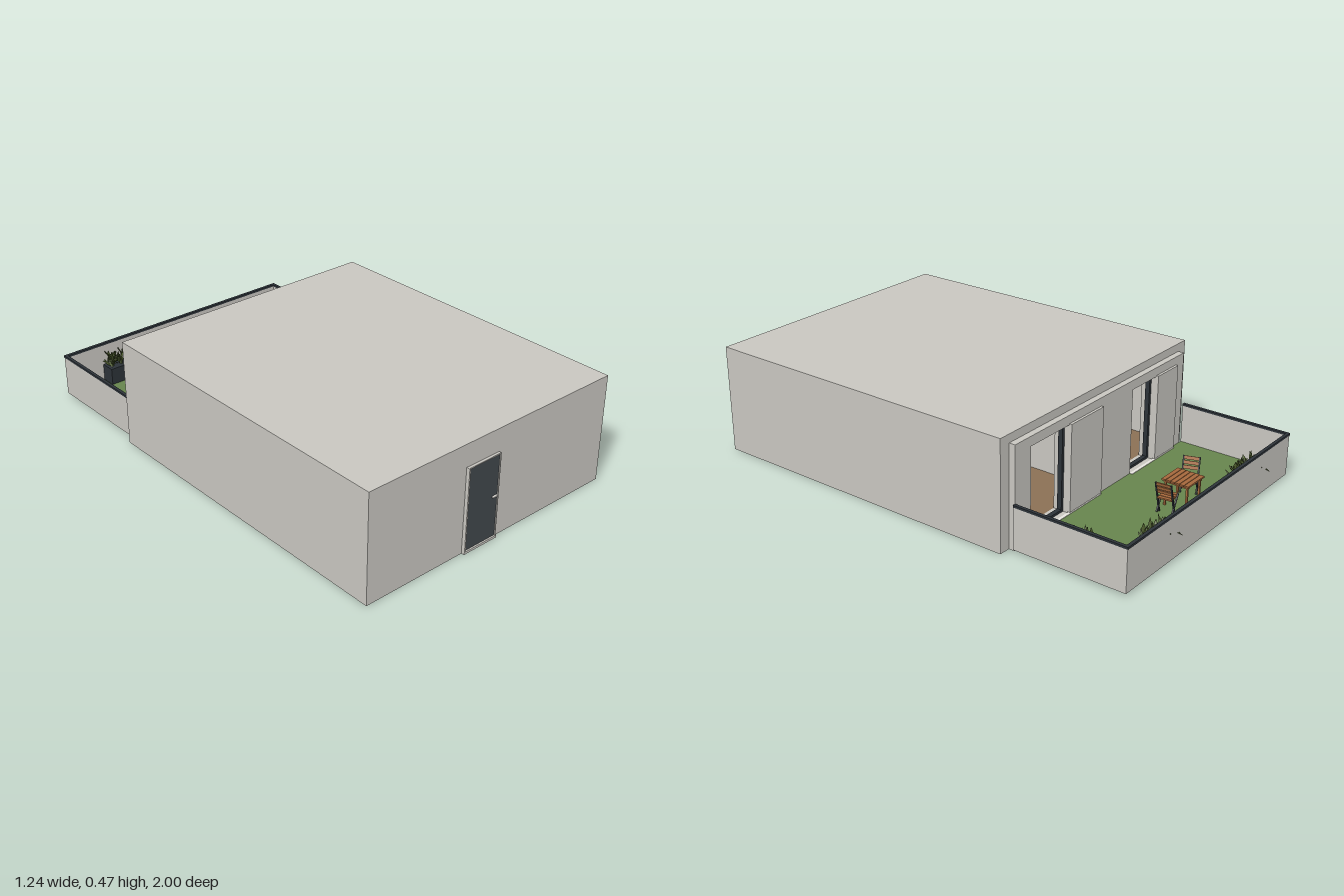
import * as THREE from 'three';
import { mergeGeometries } from 'three/addons/utils/BufferGeometryUtils.js';

const mat = (name, color, side = THREE.FrontSide) => {
  const m = new THREE.MeshStandardMaterial({ color, side });
  m.name = name;
  return m;
};

export function createModel() {
  const M = {
    plaster: mat('plaster', 0xc8c6c0),
    charcoal: mat('charcoal', 0x41474b),
    rail: mat('dark metal', 0x2c3238),
    grass: mat('grass', 0x67844d),
    wood: mat('wood', 0xa5683c),
    floor: mat('floor boards', 0x8a7054),
    leaf: mat('leaf', 0x4a5a2a, THREE.DoubleSide),
    white: mat('white', 0xe8e6e0),
  };
  const root = new THREE.Group();
  root.name = 'apartment';

  // Box given by its minimum and maximum on each axis
  const box = (name, m, x0, x1, y0, y1, z0, z1, parent = root) => {
    const mesh = new THREE.Mesh(new THREE.BoxGeometry(x1 - x0, y1 - y0, z1 - z0), m);
    mesh.position.set((x0 + x1) / 2, (y0 + y1) / 2, (z0 + z1) / 2);
    mesh.name = name;
    parent.add(mesh);
    return mesh;
  };
  const group = (name, x = 0, y = 0, z = 0, turn = 0) => {
    const g = new THREE.Group();
    g.name = name;
    g.position.set(x, y, z);
    g.rotation.y = turn;
    root.add(g);
    return g;
  };

  // Outer walls and roof
  box('roof', M.plaster, -0.62, 0.62, 0.43, 0.465, -0.46, 0.985);
  for (const s of [-1, 1]) box('sideWall', M.plaster, s * 0.59 - 0.03, s * 0.59 + 0.03, 0, 0.43, -0.46, 0.985);
  box('frontWall', M.plaster, -0.56, 0.56, 0, 0.43, 0.925, 0.985);

  // Back wall in two layers, both cut by the balcony doors
  const openings = [{ x0: 0.24, x1: 0.475, p0: 0.03 }, { x0: -0.36, x1: -0.19, p0: -0.51 }];
  const backWall = (name, halfWidth, z0, z1) => {
    const s = new THREE.Shape();
    s.moveTo(-halfWidth, 0).lineTo(halfWidth, 0).lineTo(halfWidth, 0.43).lineTo(-halfWidth, 0.43).closePath();
    for (const { x0, x1 } of openings) {
      const h = new THREE.Path();
      h.moveTo(x0, 0.02).lineTo(x0, 0.39).lineTo(x1, 0.39).lineTo(x1, 0.02).closePath();
      s.holes.push(h);
    }
    const mesh = new THREE.Mesh(new THREE.ExtrudeGeometry(s, { depth: z1 - z0, bevelEnabled: false }), M.plaster);
    mesh.position.z = z0;
    mesh.name = name;
    root.add(mesh);
  };
  backWall('backWall', 0.56, -0.46, -0.42);
  backWall('backCladding', 0.57, -0.487, -0.46);

  // Balcony doors: dark frame, sill and sliding panel
  for (const { x0, x1, p0 } of openings) {
    const t = 0.012, z0 = -0.465, z1 = -0.445;
    box('doorFrameSide', M.rail, x0, x0 + t, 0.02, 0.39, z0, z1);
    box('doorFrameSide', M.rail, x1 - t, x1, 0.02, 0.39, z0, z1);
    box('doorFrameTop', M.rail, x0 + t, x1 - t, 0.378, 0.39, z0, z1);
    box('doorFrameBottom', M.rail, x0 + t, x1 - t, 0.02, 0.03, z0, z1);
    box('sill', M.white, p0, x1, 0.012, 0.022, -0.5, -0.487);
    box('slidingPanel', M.plaster, p0, x0, 0.025, 0.395, -0.498, -0.487);
  }

  // Floors and inner walls
  box('floor', M.floor, -0.56, 0.56, 0.012, 0.018, -0.42, 0.925);
  box('bathroomFloor', M.charcoal, 0.23, 0.56, 0.01, 0.02, 0.435, 0.925);
  box('showerFloor', M.plaster, 0.37, 0.56, 0.008, 0.024, 0.76, 0.925);
  const wall = (x0, x1, z0, z1) => box('innerWall', M.plaster, x0, x1, 0, 0.43, z0, z1);
  wall(-0.02, 0.005, -0.42, 0.435);
  wall(0.005, 0.56, 0.41, 0.435);
  wall(0.205, 0.23, 0.435, 0.925);
  wall(0.04, 0.06, 0.6, 0.84);
  wall(0.06, 0.205, 0.6, 0.62);

  // Entrance door
  box('threshold', M.plaster, -0.15, 0.022, 0, 0.01, 0.985, 0.998);
  box('entranceDoor', M.charcoal, -0.144, 0.016, 0.011, 0.362, 0.985, 0.992);
  box('entranceFrame', M.plaster, -0.15, -0.144, 0.01, 0.368, 0.985, 1);
  box('entranceFrame', M.plaster, 0.016, 0.02, 0.01, 0.366, 0.985, 0.996);
  box('entranceFrame', M.plaster, -0.144, 0.016, 0.362, 0.367, 0.985, 0.996);
  box('doorHandle', M.white, -0.012, 0.012, 0.186, 0.191, 0.992, 1);

  // Balcony with parapet and dark rail
  box('balconyLawn', M.grass, -0.585, 0.57, 0.01, 0.02, -0.97, -0.487);
  box('parapetBack', M.plaster, -0.595, 0.58, 0.01, 0.186, -0.98, -0.97);
  box('railBack', M.rail, -0.597, 0.582, 0.186, 0.195, -0.982, -0.968);
  for (const x of [-0.595, 0.57]) {
    box('parapetSide', M.plaster, x, x + 0.01, 0.01, 0.186, -0.97, -0.487);
    box('railSide', M.rail, x - 0.002, x + 0.012, 0.186, 0.195, -0.968, -0.487);
  }

  // Slatted balcony table
  const table = group('balconyTable', -0.095, 0.02, -0.79);
  for (let i = 0; i < 6; i++) {
    const z = -0.06 + i * 0.0204;
    box('tableSlat', M.wood, -0.06, 0.06, 0.108, 0.115, z, z + 0.018, table);
  }
  for (const x of [-0.05, 0.042]) {
    box('tableBeam', M.wood, x, x + 0.008, 0.098, 0.108, -0.055, 0.055, table);
    for (const z of [-0.052, 0.044]) box('tableLeg', M.wood, x, x + 0.008, 0, 0.1, z, z + 0.008, table);
  }

  // Folding chairs, backs towards local +x
  const chair = (x, z, turn) => {
    const g = group('balconyChair', x, 0.02, z, turn);
    for (let i = 0; i < 4; i++) box('seatSlat', M.wood, -0.04 + i * 0.018, -0.025 + i * 0.018, 0.068, 0.074, -0.03, 0.03, g);
    for (const s of [-1, 1]) {
      box('chairLeg', M.rail, -0.003, 0.003, 0, 0.09, s * 0.032 - 0.003, s * 0.032 + 0.003, g).rotation.z = 0.6;
      const post = box('backPost', M.rail, -0.003, 0.003, -0.075, 0.075, s * 0.032 - 0.003, s * 0.032 + 0.003, g);
      post.position.set(0.022, 0.072, s * 0.032);
      post.rotation.z = -0.3;
    }
    for (let i = 0; i < 3; i++) {
      const slat = box('backSlat', M.wood, -0.002, 0.002, -0.007, 0.007, -0.03, 0.03, g);
      slat.position.set(0.03 + i * 0.0055, 0.1 + i * 0.018, 0);
      slat.rotation.z = -0.3;
    }
  };
  chair(0.005, -0.785, 0.12);
  chair(-0.185, -0.765, Math.PI + 0.35);

  // Planters filled with folded leaves
  let seed = 7;
  const rnd = () => (seed = (seed * 16807) % 2147483647) / 2147483647;
  const leafShape = (len, w) => {
    const g = new THREE.PlaneGeometry(w, len, 2, 2);
    const p = g.attributes.position;
    for (let i = 0; i < p.count; i++) {
      const v = p.getY(i) / len + 0.5;
      p.setXYZ(i, p.getX(i) * (v === 0.5 ? 1 : 0.08), v * len, Math.abs(p.getX(i)) * 0.4 - v * v * len * 0.3);
    }
    g.computeVertexNormals();
    return g;
  };
  const planter = (x, z, turn, spike) => {
    const g = group('planter', x, 0.02, z, turn);
    box('planterBox', M.rail, -0.078, 0.078, 0, 0.075, -0.033, 0.033, g);
    const leaves = [];
    for (let i = 0; i < 110; i++) {
      const l = leafShape(0.025 + rnd() * 0.02, 0.013 + rnd() * 0.008);
      l.rotateX(0.3 + rnd() * 1.1).rotateY(rnd() * Math.PI * 2);
      l.translate((rnd() - 0.5) * 0.13, 0.07 + rnd() * 0.045, (rnd() - 0.5) * 0.045);
      leaves.push(l);
    }
    if (spike) {
      const l = leafShape(0.06, 0.014);
      l.rotateX(-1.4).translate(-0.073, 0.088, -0.002);
      leaves.push(l);
    }
    const mesh = new THREE.Mesh(mergeGeometries(leaves), M.leaf);
    mesh.name = 'foliage';
    g.add(mesh);
  };
  planter(-0.335, -0.933, 0, true);
  planter(0.32, -0.933, 0, true);
  planter(0.53, -0.735, Math.PI / 2, false);

  // Bedroom: wooden wall panel, bed, nightstand and lamp
  box('wallPanel', M.wood, 0.551, 0.56, 0.018, 0.43, -0.42, 0.41);
  box('bedBase', M.wood, 0.15, 0.55, 0.03, 0.06, -0.2, 0.14);
  box('mattress', M.white, 0.15, 0.545, 0.06, 0.1, -0.195, 0.135);
  for (const z of [-0.17, -0.01]) box('pillow', M.white, 0.45, 0.53, 0.1, 0.125, z, z + 0.13);
  box('nightstand', M.wood, 0.45, 0.55, 0.035, 0.1, -0.32, -0.22);
  const lamp = new THREE.Mesh(new THREE.CylinderGeometry(0.018, 0.028, 0.04, 16), M.white);
  lamp.position.set(0.5, 0.155, -0.27);
  lamp.name = 'lampShade';
  root.add(lamp);
  box('lampStand', M.rail, 0.496, 0.504, 0.1, 0.136, -0.274, -0.266);

  // Living room: cabinet, screen, sofa and low table
  box('cabinet', M.charcoal, -0.1, -0.02, 0.018, 0.1, -0.32, 0.2);
  box('cabinetTop', M.wood, -0.105, -0.02, 0.1, 0.108, -0.325, 0.205);
  box('screen', M.rail, -0.03, -0.02, 0.15, 0.3, -0.2, 0.08);
  box('sofaSeat', M.charcoal, -0.55, -0.42, 0.03, 0.08, -0.25, 0.15);
  box('sofaBack', M.charcoal, -0.56, -0.52, 0.03, 0.15, -0.25, 0.15);
  box('lowTable', M.wood, -0.32, -0.22, 0.05, 0.065, -0.12, 0.04);

  // Bathroom fittings
  box('washstand', M.white, 0.24, 0.31, 0.02, 0.15, 0.5, 0.64);
  box('toilet', M.white, 0.46, 0.55, 0.02, 0.08, 0.52, 0.59);
  return root;
}
